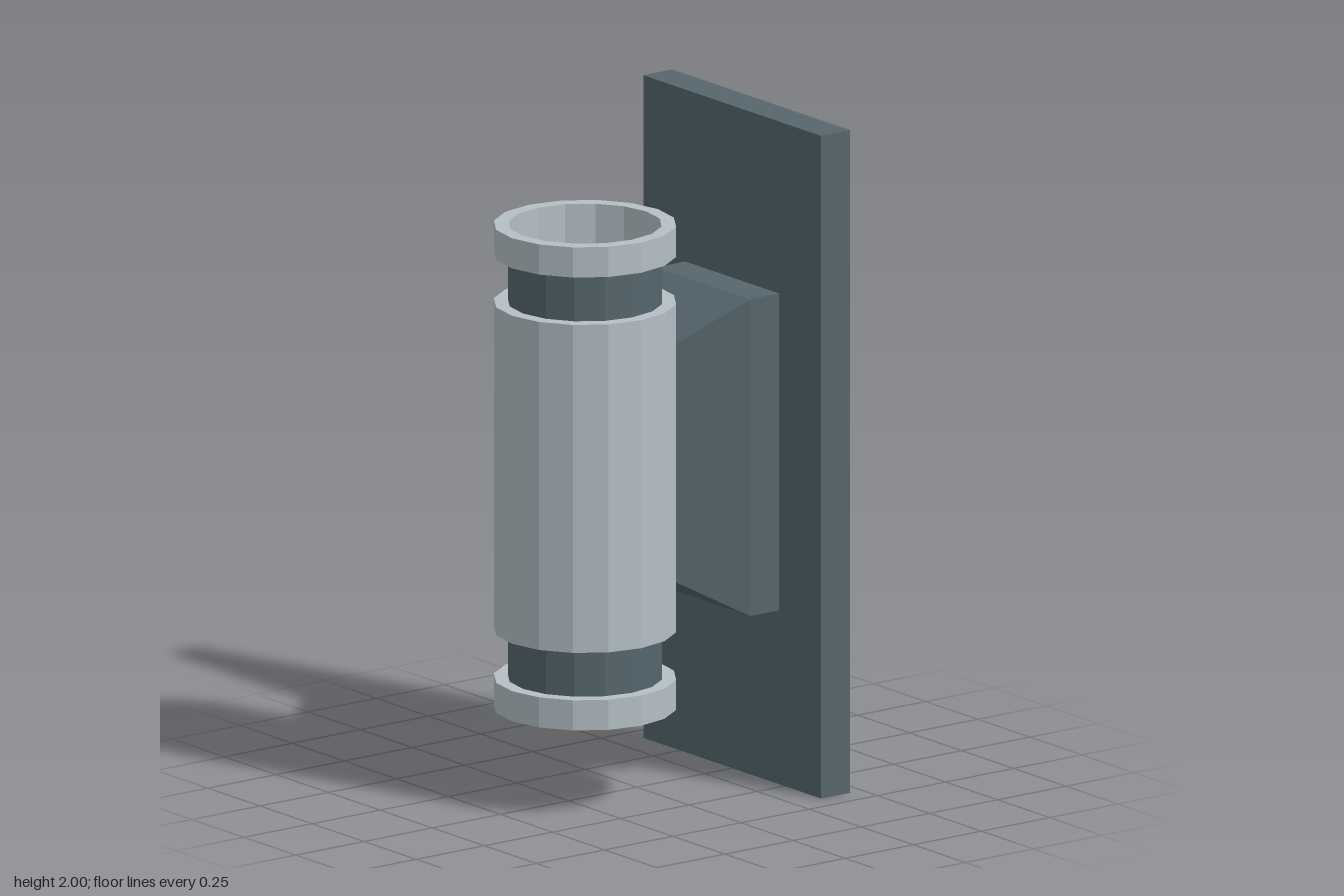
import * as THREE from 'three';

const SIDES = 16, R_OUT = 0.268, R_IN = 0.227, LAMP_Z = 0.19;

export function createModel() {
  const model = new THREE.Group();
  model.name = 'wallLamp';
  const dark = new THREE.MeshStandardMaterial({ color: 0x55666d, flatShading: true });
  dark.name = 'dark slate';
  const light = new THREE.MeshStandardMaterial({ color: 0xb4bfc5, flatShading: true });
  light.name = 'light grey';

  const add = (name, geometry, material, parent = model) => {
    const mesh = new THREE.Mesh(geometry, material);
    mesh.name = name;
    parent.add(mesh);
    return mesh;
  };

  // Wall plate
  add('wallPlate', new THREE.BoxGeometry(0.854, 2, 0.106), dark).position.set(0, 1, -0.403);

  // Bracket: straight block, then a taper towards the lamp
  const yMid = 1.003;
  add('bracketBase', new THREE.BoxGeometry(0.45, 0.956, 0.107), dark).position.set(0, yMid, -0.2965);
  const taper = new THREE.BoxGeometry(0.45, 0.956, 0.213);
  const p = taper.attributes.position;
  for (let i = 0; i < p.count; i++) {
    if (p.getZ(i) > 0) p.setXY(i, p.getX(i) * 0.62, p.getY(i) * 0.747);
  }
  taper.computeVertexNormals();
  add('bracketTaper', taper, dark).position.set(0, yMid, -0.1365);

  // Lamp: solid middle with a recessed neck and an open rim at each end
  const lamp = new THREE.Group();
  lamp.name = 'lamp';
  lamp.position.set(0, yMid, LAMP_Z);
  model.add(lamp);
  add('lampBody', new THREE.CylinderGeometry(R_OUT, R_OUT, 0.99, SIDES), light, lamp);

  const lathe = (points) =>
    new THREE.LatheGeometry(points.map(([r, y]) => new THREE.Vector2(r, y)), SIDES);
  for (const [end, turn] of [['upper', 0], ['lower', Math.PI]]) {
    const group = new THREE.Group();
    group.name = end + 'End';
    group.rotation.x = turn;
    lamp.add(group);
    add(end + 'Neck', lathe([[R_IN, 0.495], [R_IN, 0.638]]), dark, group);
    // Rim outside, top lip and the inner wall down to the body
    add(end + 'Rim', lathe([[R_IN, 0.638], [R_OUT, 0.638], [R_OUT, 0.729],
      [R_IN - 0.002, 0.729], [R_IN - 0.002, 0.495]]), light, group);
  }
  return model;
}
